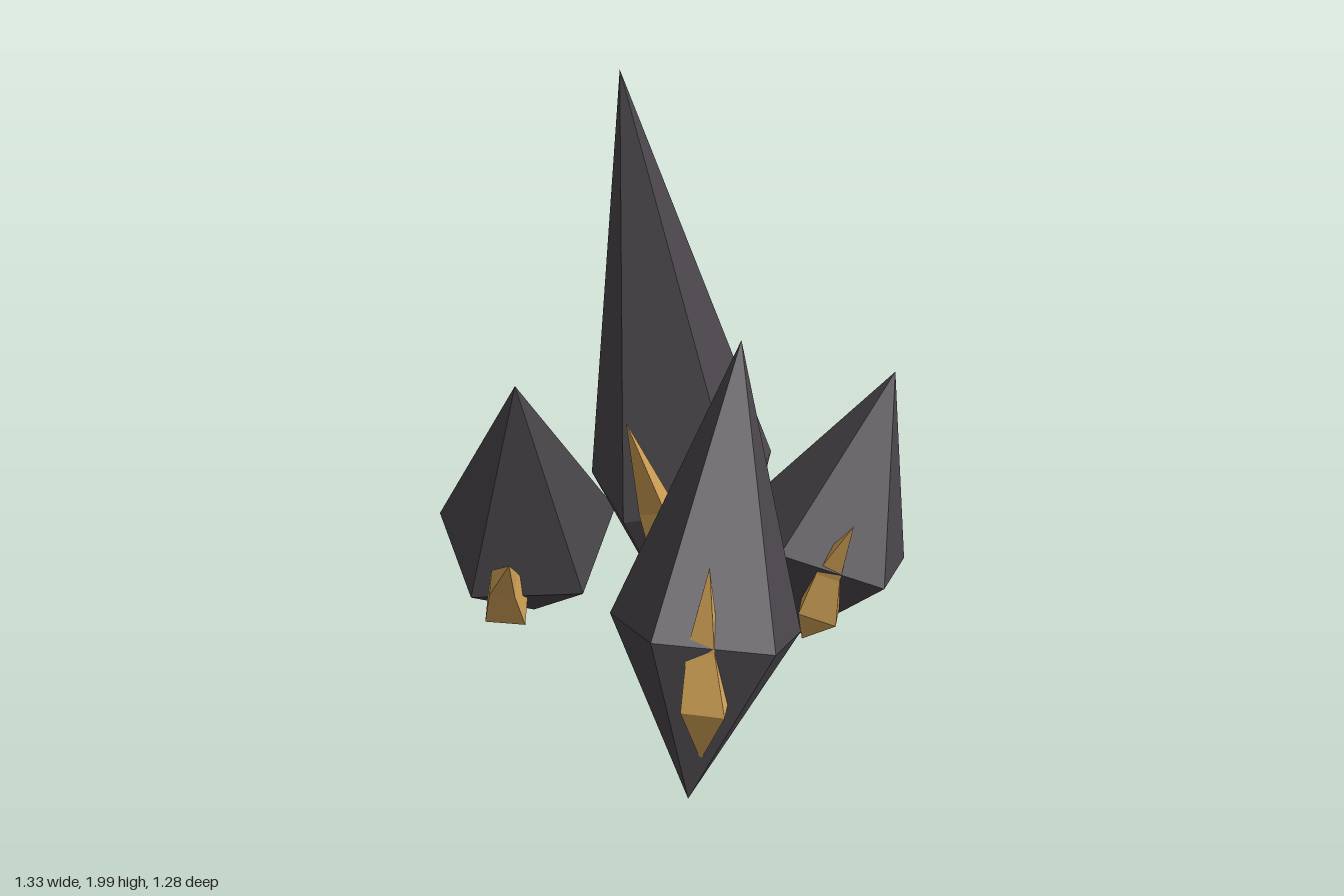
import * as THREE from 'three';

const darkStone = new THREE.MeshStandardMaterial({ color: 0x4b474c });
const amberStone = new THREE.MeshStandardMaterial({ color: 0xd9a85a });

// Pointed crystal from bottom tip to top tip; rings are [height fraction, radius, sideways shift]
function crystal(name, bottom, top, rings, sides, material) {
  const from = new THREE.Vector3(...bottom);
  const axis = new THREE.Vector3(...top).sub(from);
  const length = axis.length();
  axis.normalize();

  const levels = [[0, 0, 0], ...rings, [1, 0, 0]];
  const profile = levels.map(([t, r]) => new THREE.Vector2(r, t * length));
  const lathe = new THREE.LatheGeometry(profile, sides, Math.PI / 2);
  const pos = lathe.attributes.position;
  for (let i = 0; i < pos.count; i++) {
    pos.setX(i, pos.getX(i) + levels[i % levels.length][2]);
  }

  // Flat facets
  const geometry = lathe.toNonIndexed();
  geometry.computeVertexNormals();

  const mesh = new THREE.Mesh(geometry, material);
  mesh.name = name;
  mesh.position.copy(from);
  mesh.rotation.set(Math.atan2(axis.z, axis.y), 0, -Math.asin(axis.x));
  return mesh;
}

export function createModel() {
  const group = new THREE.Group();
  group.name = 'crystalCluster';

  // Large five-sided dark crystals
  const large = [
    ['centreCrystal', [-0.03, 0.01, -0.03], [-0.13, 2.0, 0.205]],
    ['backCrystal', [0.04, 0.11, -0.27], [0.135, 0.99, -0.595]],
    ['rightCrystal', [-0.595, 0.11, 0.27], [-0.21, 1.13, 0.527]],
    ['leftCrystal', [0.48, 0.09, 0.44], [0.222, 1.3, 0.062]],
  ];
  for (const [name, bottom, top] of large) {
    group.add(crystal(name, bottom, top, [[0.375, 0.285, 0]], 5, darkStone));
  }

  // Small four-sided amber shards growing from the dark crystals
  const shards = [
    ['centreShard', [0.01, 0.31, 0.06], [0.215, 1.16, 0.443]],
    ['backShard', [0.12, 0.16, -0.265], [0.315, 0.64, -0.29]],
    ['rightShard', [-0.465, 0.22, 0.46], [-0.1, 0.64, 0.64]],
    ['leftShard', [0.51, 0.23, 0.418], [0.545, 0.86, 0.413]],
  ];
  for (const [name, bottom, top] of shards) {
    group.add(crystal(name, bottom, top, [[0.32, 0.085, 0.01], [0.6, 0.053, -0.015]], 4, amberStone));
  }
  return group;
}
